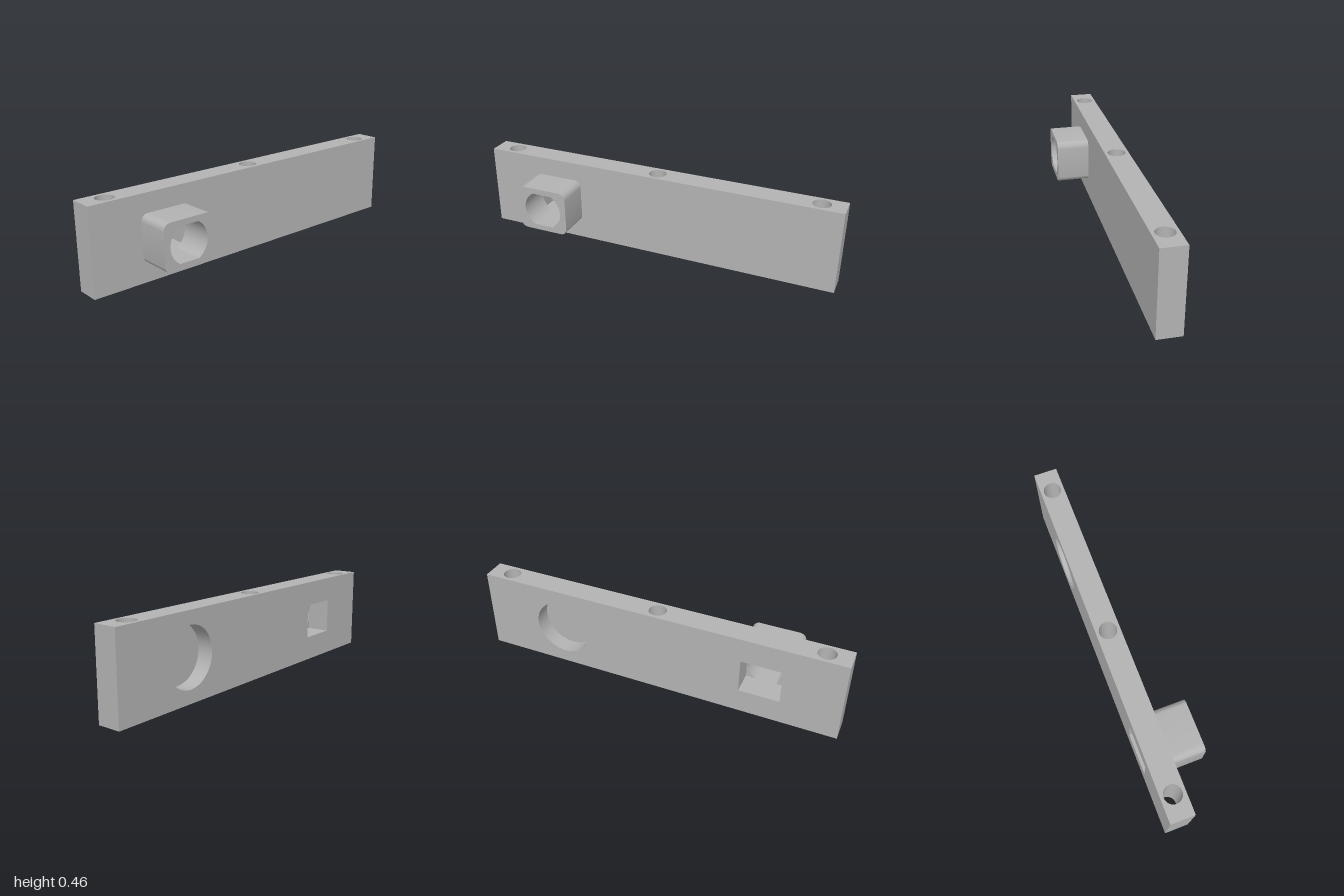
import * as THREE from 'three';
import { toCreasedNormals } from 'three/addons/utils/BufferGeometryUtils.js';

const X0 = -0.155, X1 = -0.028, BOSS_X = 0.154;   // bar faces and boss end
const H = 0.455, CY = H / 2;                      // bar height and mid height
const BORE_X = (X0 + X1) / 2, BORE_R = 0.047;     // vertical bolt holes
const BORES = [-0.875, 0, 0.875];
const BOSS_Z = 0.583, SLOT_R = 0.109, SLOT_H = 0.094;
const POCKET_Z = -0.54, POCKET_R = 0.157, POCKET_D = 0.088;

// Rectangle outline, optionally with rounded corners
function rect(cx, cy, w, h, r = 0, Type = THREE.Shape) {
  const s = new Type(), a = w / 2, b = h / 2;
  if (!r) {
    return s.setFromPoints([[-a, -b], [a, -b], [a, b], [-a, b], [-a, -b]]
      .map(([x, y]) => new THREE.Vector2(cx + x, cy + y)));
  }
  [[1, -1], [1, 1], [-1, 1], [-1, -1]].forEach(([i, j], k) =>
    s.absarc(cx + i * (a - r), cy + j * (b - r), r, (k - 1) * Math.PI / 2, k * Math.PI / 2, false));
  s.closePath();
  return s;
}

const circle = (x, y, r) => new THREE.Path().absarc(x, y, r, 0, Math.PI * 2, false);

export function createModel() {
  const model = new THREE.Group();
  model.name = 'mountingBar';
  const grey = new THREE.MeshStandardMaterial({ color: 0xb3b3b3, side: THREE.DoubleSide });
  grey.name = 'grey';

  const add = (name, geometry, parent = model) => {
    const mesh = new THREE.Mesh(geometry, grey);
    mesh.name = name;
    parent.add(mesh);
    return mesh;
  };
  const bar = new THREE.Group();
  bar.name = 'bar';
  model.add(bar);

  // Top and bottom faces with the bolt holes, and the walls of those holes
  const edge = rect(BORE_X, 0, X1 - X0, 2);
  edge.holes = BORES.map(z => circle(BORE_X, z, BORE_R));
  add('barTop', new THREE.ShapeGeometry(edge, 16).rotateX(-Math.PI / 2).translate(0, H, 0), bar);
  add('barBottom', new THREE.ShapeGeometry(edge, 16).rotateX(Math.PI / 2), bar);
  for (const z of BORES) {
    add('boltHole', new THREE.CylinderGeometry(BORE_R, BORE_R, H, 32, 1, true)
      .translate(BORE_X, CY, z), bar);
  }

  // Bar ends
  for (const s of [1, -1]) {
    add('barEnd', new THREE.PlaneGeometry(X1 - X0, H)
      .rotateY(s > 0 ? 0 : Math.PI).translate(BORE_X, CY, s), bar);
  }

  // Outer side, open behind the boss
  const outer = rect(0, CY, 2, H);
  outer.holes = [rect(-BOSS_Z, CY, 0.285, 0.25, 0.037, THREE.Path)];
  add('barOuterSide', new THREE.ShapeGeometry(outer, 10).rotateY(Math.PI / 2).translate(X1, 0, 0), bar);

  // Inner side with a round pocket and a rectangular window
  const inner = rect(0, CY, 2, H);
  inner.holes = [circle(POCKET_Z, CY, POCKET_R),
    rect(BOSS_Z, CY, SLOT_R * 2, SLOT_H * 2, 0, THREE.Path)];
  add('barInnerSide', new THREE.ShapeGeometry(inner, 24).rotateY(-Math.PI / 2).translate(X0, 0, 0), bar);

  // Round blind pocket: wall and floor
  add('pocketWall', new THREE.CylinderGeometry(POCKET_R, POCKET_R, POCKET_D, 48, 1, true)
    .rotateZ(Math.PI / 2).translate(X0 + POCKET_D / 2, CY, POCKET_Z), bar);
  add('pocketFloor', new THREE.CircleGeometry(POCKET_R, 48)
    .rotateY(-Math.PI / 2).translate(X0 + POCKET_D, CY, POCKET_Z), bar);

  // Window walls through the bar
  for (const s of [1, -1]) {
    add('windowSide', new THREE.PlaneGeometry(X1 - X0, SLOT_H * 2)
      .rotateY(s > 0 ? Math.PI : 0).translate(BORE_X, CY, BOSS_Z + s * SLOT_R), bar);
    add('windowLedge', new THREE.PlaneGeometry(X1 - X0, SLOT_R * 2)
      .rotateX(s * Math.PI / 2).translate(BORE_X, CY + s * SLOT_H, BOSS_Z), bar);
  }

  // Rounded boss with a flat-topped round slot through it
  const boss = rect(-BOSS_Z, CY, 0.285, 0.25, 0.037);
  const a = Math.asin(SLOT_H / SLOT_R);
  const slot = new THREE.Path();
  slot.absarc(-BOSS_Z, CY, SLOT_R, -a, a, false);
  slot.absarc(-BOSS_Z, CY, SLOT_R, Math.PI - a, Math.PI + a, false);
  slot.closePath();
  boss.holes = [slot];
  const bossGeometry = new THREE.ExtrudeGeometry(boss,
    { depth: BOSS_X - X1, bevelEnabled: false, curveSegments: 10 });
  add('boss', toCreasedNormals(bossGeometry, 0.4).rotateY(Math.PI / 2).translate(X1, 0, 0));

  return model;
}
